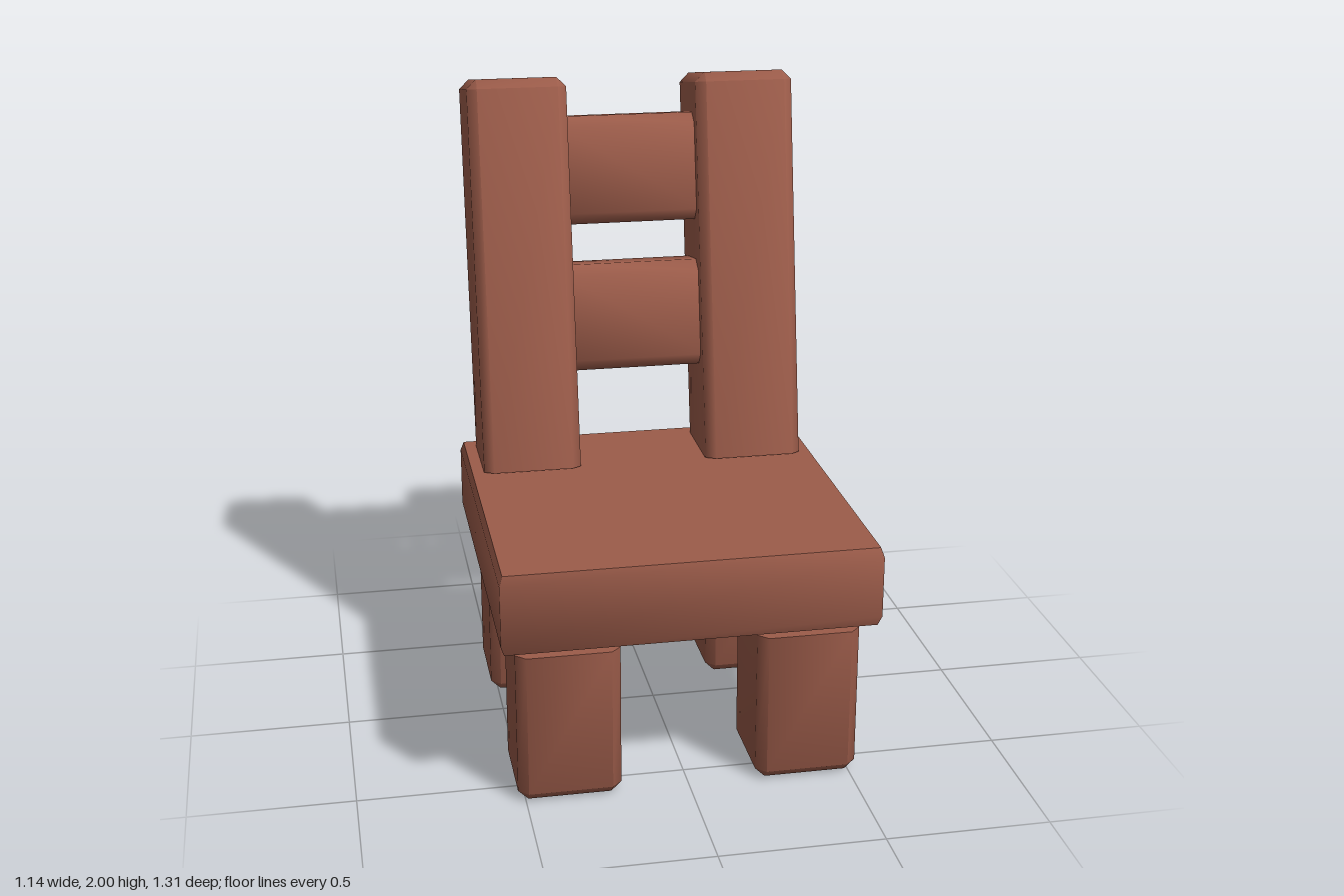
import * as THREE from 'three';
import { toCreasedNormals } from 'three/addons/utils/BufferGeometryUtils.js';

const TILT = THREE.MathUtils.degToRad(-10);

// Upright block with chamfered vertical edges, lofted through levels of [y, inset]
function block(width, depth, chamfer, levels) {
  const pos = [];
  const rings = levels.map(([y, inset]) => {
    const x = width / 2 - inset, z = depth / 2 - inset;
    const c = Math.max(chamfer - inset, 0.002);
    return [
      [x, z - c], [x, c - z], [x - c, -z], [c - x, -z],
      [-x, c - z], [-x, z - c], [c - x, z], [x - c, z],
    ].map(([px, pz]) => [px, y, pz]);
  });
  const tri = (a, b, c) => pos.push(...a, ...b, ...c);
  for (let k = 0; k < rings.length - 1; k++) {
    for (let i = 0; i < 8; i++) {
      const j = (i + 1) % 8, lo = rings[k], hi = rings[k + 1];
      tri(lo[i], lo[j], hi[j]);
      tri(lo[i], hi[j], hi[i]);
    }
  }
  // End caps
  const bottom = rings[0], top = rings[rings.length - 1];
  for (let i = 1; i < 7; i++) {
    tri(top[0], top[i], top[i + 1]);
    tri(bottom[0], bottom[i + 1], bottom[i]);
  }
  const geometry = new THREE.BufferGeometry();
  geometry.setAttribute('position', new THREE.Float32BufferAttribute(pos, 3));
  return toCreasedNormals(geometry, 0.9);
}

export function createModel() {
  const chair = new THREE.Group();
  chair.name = 'chair';
  const wood = new THREE.MeshStandardMaterial({ color: 0x9c5c4a });
  wood.name = 'reddish brown wood';

  const add = (name, geometry, x, y, z, tilt = 0) => {
    const mesh = new THREE.Mesh(geometry, wood);
    mesh.name = name;
    mesh.position.set(x, y, z);
    mesh.rotation.x = tilt;
    chair.add(mesh);
  };

  // Seat slab with slightly bevelled rims
  add('seat', block(1.14, 1.14, 0, [[0.515, 0.01], [0.545, 0], [0.735, 0], [0.765, 0.01]]), 0, 0, 0.09);

  // Stubby legs and leaning back posts, mirrored left and right
  const leg = block(0.315, 0.315, 0.03, [[0, 0.03], [0.03, 0], [0.48, 0]]);
  const post = block(0.315, 0.31, 0.03, [[-1.25, 0], [-0.03, 0], [0, 0.03]]);
  for (const [side, x] of [['left', 0.365], ['right', -0.365]]) {
    add(side + 'FrontLeg', leg, x, 0, 0.455);
    add(side + 'BackLeg', leg, x, 0, -0.275);
    add(side + 'BackPost', post, x, 1.977, -0.507, TILT);
  }

  // Chamfered rails between the posts, laid along x
  const rail = block(0.345, 0.195, 0.035, [[-0.23, 0], [0.23, 0]]).rotateZ(Math.PI / 2);
  add('upperRail', rail, 0, 1.683, -0.46, TILT);
  add('lowerRail', rail, 0, 1.215, -0.378, TILT);

  return chair;
}
